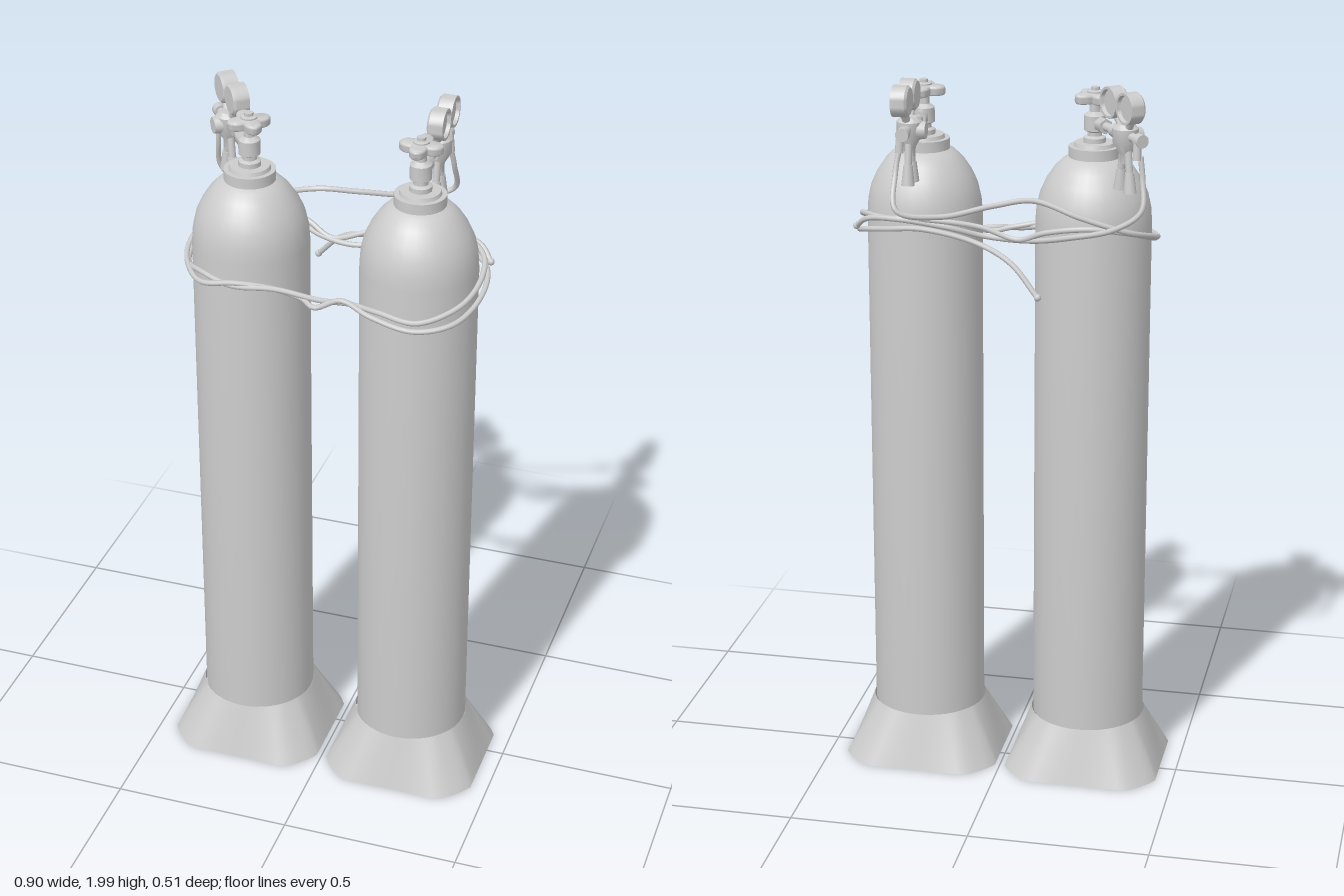
import * as THREE from 'three';
import { toCreasedNormals } from 'three/addons/utils/BufferGeometryUtils.js';

const metal = new THREE.MeshStandardMaterial({ color: 0xcccccc });
const thin = new THREE.MeshStandardMaterial({ color: 0xcccccc, side: THREE.DoubleSide });
const TANK_X = 0.233, TANK_Z = 0.05;

function add(parent, name, geo, mat = metal) {
  const mesh = new THREE.Mesh(geo, mat);
  mesh.name = name;
  parent.add(mesh);
  return mesh;
}

const lathe = (pts, seg = 24, crease = 0.7) => toCreasedNormals(
  new THREE.LatheGeometry(pts.map(([r, y]) => new THREE.Vector2(r, y)), seg), crease);

// Solid rod between two points, with a radius at each end
function rod(parent, name, a, b, r1, r2 = r1, seg = 14) {
  const A = new THREE.Vector3(...a), B = new THREE.Vector3(...b);
  const mesh = add(parent, name, new THREE.CylinderGeometry(r2, r1, A.distanceTo(B), seg));
  mesh.position.copy(A).add(B).multiplyScalar(0.5);
  mesh.quaternion.setFromUnitVectors(new THREE.Vector3(0, 1, 0), B.sub(A).normalize());
  return mesh;
}

// Round top flaring to a square base with cut corners, open below
function footGeometry() {
  const geo = new THREE.CylinderGeometry(0.161, 0.253, 0.155, 48, 1, true);
  const p = geo.attributes.position;
  for (let i = 0; i < p.count; i++) {
    if (p.getY(i) > 0) continue;
    p.setX(i, THREE.MathUtils.clamp(p.getX(i), -0.219, 0.219));
    p.setZ(i, THREE.MathUtils.clamp(p.getZ(i), -0.207, 0.207));
  }
  geo.translate(0, 0.0775, 0);
  geo.computeVertexNormals();
  return geo;
}

// Four-lobed hand wheel lying flat
function wheelGeometry() {
  const pts = [];
  for (let i = 0; i < 48; i++) {
    const a = i / 48 * Math.PI * 2, r = 0.036 + 0.014 * Math.cos(4 * a);
    pts.push(new THREE.Vector2(r * Math.cos(a), r * Math.sin(a)));
  }
  const geo = new THREE.ExtrudeGeometry(new THREE.Shape(pts), {
    depth: 0.01, bevelEnabled: true, bevelThickness: 0.009, bevelSize: 0.009, bevelSegments: 3,
  });
  geo.rotateX(-Math.PI / 2);
  return toCreasedNormals(geo, 0.8);
}

// Valve on the tank axis, with the regulator reaching towards -z
function createValve(turn) {
  const head = new THREE.Group();
  head.name = 'valveAndRegulator';
  head.rotation.y = turn;
  add(head, 'valveStem', lathe([
    [0, 1.8], [0.03, 1.8], [0.03, 1.83], [0.02, 1.835], [0.02, 1.845], [0.029, 1.85], [0.029, 1.89],
    [0.015, 1.9], [0.015, 1.925], [0.022, 1.925], [0.022, 1.955], [0.012, 1.958], [0.012, 1.966], [0, 1.966],
  ], 16));
  add(head, 'handWheel', wheelGeometry()).position.y = 1.932;

  // Horizontal line with collars and end fitting
  rod(head, 'outletArm', [0, 1.87, 0], [0, 1.87, -0.24], 0.012);
  rod(head, 'outletNut', [0, 1.87, -0.03], [0, 1.87, -0.06], 0.021, 0.021, 6);
  rod(head, 'armCollar', [0, 1.87, -0.1], [0, 1.87, -0.12], 0.018);
  rod(head, 'endFitting', [0, 1.87, -0.225], [0, 1.87, -0.25], 0.018);
  rod(head, 'hoseElbow', [0.008, 1.87, -0.236], [0.01, 1.82, -0.238], 0.01, 0.012);

  // Regulator body with adjusting knob
  const body = add(head, 'regulatorBody', lathe([
    [0, 1.795], [0.014, 1.795], [0.016, 1.82], [0.034, 1.85], [0.034, 1.888], [0.022, 1.9], [0, 1.9],
  ], 18));
  body.position.z = -0.163;
  rod(head, 'adjustingKnob', [-0.02, 1.865, -0.163], [-0.045, 1.865, -0.163], 0.026, 0.022);

  // Paired dials and lower outlets
  for (const s of [-1, 1]) {
    const z = -0.163 + s * 0.042;
    const dial = add(head, 'gauge', lathe([
      [0, -0.022], [0.036, -0.022], [0.042, -0.016], [0.042, 0.022], [0.035, 0.022], [0.033, 0.012], [0, 0.012],
    ], 28));
    dial.rotation.z = -Math.PI / 2;
    dial.position.set(0.01, 1.95, z);
    rod(head, 'gaugeStem', [0, 1.88, -0.163 + s * 0.012], [0.008, 1.925, z], 0.011);
    const zo = -0.163 + s * 0.013, ze = -0.163 + s * 0.022;
    rod(head, 'outletPipe', [0, 1.83, zo], [0, 1.77, ze], 0.01);
    rod(head, 'outletNozzle', [0, 1.775, ze], [0, 1.72, ze + s * 0.004], 0.012, 0.018);
  }
  return head;
}

function createTank(x, turn) {
  const tank = new THREE.Group();
  tank.name = 'gasTank';
  tank.position.set(x, 0, TANK_Z);
  add(tank, 'cylinder', lathe([
    [0, 0.15], [0.157, 0.15], [0.157, 1.6], [0.154, 1.64], [0.145, 1.68], [0.129, 1.715],
    [0.107, 1.748], [0.085, 1.77], [0.069, 1.778],
  ], 32));
  add(tank, 'neckCollar', lathe([
    [0.069, 1.77], [0.069, 1.807], [0.056, 1.807], [0.053, 1.817], [0, 1.817],
  ], 28));
  add(tank, 'footSkirt', footGeometry(), thin);
  tank.add(createValve(turn));
  return tank;
}

function hose(parent, name, points, closed = false) {
  const curve = new THREE.CatmullRomCurve3(points.map(p => new THREE.Vector3(...p)), closed);
  add(parent, name, new THREE.TubeGeometry(curve, points.length * 9, 0.0075, 8, closed));
  if (closed) return;
  const end = add(parent, name + 'End', new THREE.SphereGeometry(0.01, 10, 8));
  end.position.set(...points[points.length - 1]);
}

export function createModel() {
  const model = new THREE.Group();
  model.name = 'gasTankPair';
  model.add(createTank(-TANK_X, 0.69), createTank(TANK_X, 0));

  // Long hose wrapped round both tanks, its loose end hanging behind
  hose(model, 'longHose', [
    [0.243, 1.83, -0.188], [0.25, 1.77, -0.205], [0.238, 1.68, -0.25], [0.13, 1.66, -0.215],
    [0, 1.68, -0.15], [-0.1, 1.69, -0.115], [-0.23, 1.65, -0.118], [-0.345, 1.61, -0.085],
    [-0.4, 1.58, 0], [-0.405, 1.56, 0.07], [-0.375, 1.55, 0.15], [-0.31, 1.545, 0.222],
    [-0.22, 1.555, 0.22], [-0.12, 1.545, 0.2], [-0.04, 1.53, 0.2], [0, 1.52, 0.22],
    [0.06, 1.53, 0.18], [0.15, 1.51, 0.205], [0.27, 1.495, 0.217], [0.365, 1.51, 0.172],
    [0.405, 1.54, 0.05], [0.385, 1.57, -0.055], [0.3, 1.59, -0.112], [0.2, 1.6, -0.13],
    [0.05, 1.57, -0.13], [-0.05, 1.53, -0.165], [-0.128, 1.45, -0.195],
  ]);

  // Short hose crossing behind
  hose(model, 'shortHose', [
    [-0.386, 1.83, -0.134], [-0.393, 1.77, -0.14], [-0.395, 1.69, -0.163], [-0.33, 1.64, -0.165],
    [-0.2, 1.6, -0.135], [-0.08, 1.57, -0.08], [0.04, 1.57, -0.06], [0.14, 1.6, -0.1],
    [0.27, 1.62, -0.118], [0.36, 1.61, -0.09], [0.397, 1.58, -0.06],
  ]);

  // Second turn round both tanks
  hose(model, 'hoseLoop', [
    [-0.25, 1.62, -0.115], [-0.36, 1.6, -0.065], [-0.396, 1.57, 0.02], [-0.385, 1.545, 0.12],
    [-0.32, 1.56, 0.195], [-0.23, 1.545, 0.218], [-0.11, 1.55, 0.21], [0.01, 1.53, 0.195],
    [0.08, 1.52, 0.172], [0.17, 1.53, 0.21], [0.28, 1.525, 0.225], [0.37, 1.55, 0.155],
    [0.4, 1.58, 0.06], [0.385, 1.61, -0.03], [0.3, 1.62, -0.108], [0.17, 1.62, -0.11],
    [0.05, 1.6, -0.08], [-0.05, 1.57, -0.075], [-0.13, 1.6, -0.1],
  ], true);
  return model;
}
